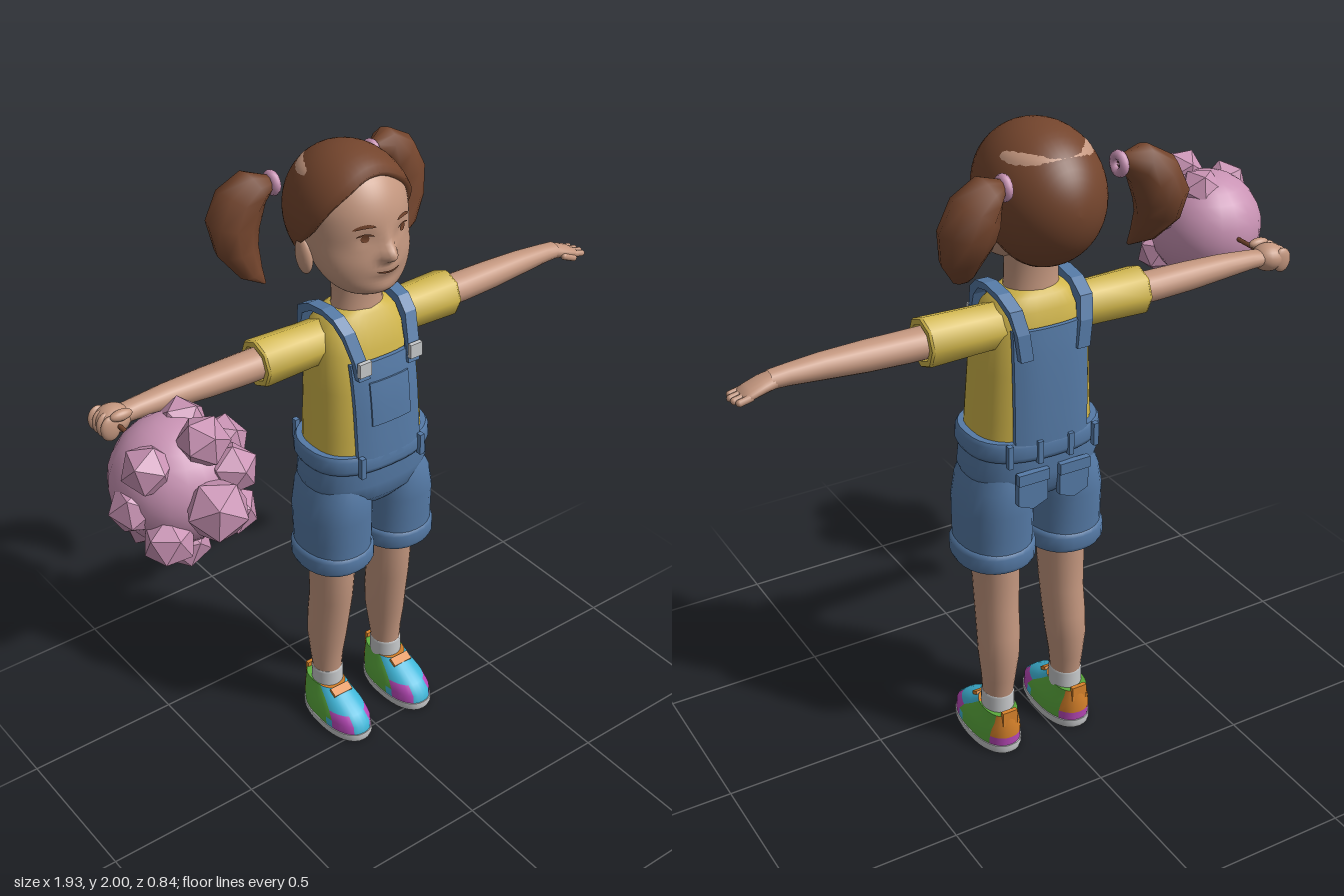
import * as THREE from 'three';

const mat = (name, color, extra) => Object.assign(new THREE.MeshStandardMaterial({ color, ...extra }), { name });
const TAU = Math.PI * 2;

// Smooth interpolation of table rows keyed by their first column
function at(rows, k) {
  let i = 0;
  while (i < rows.length - 2 && k > rows[i + 1][0]) i++;
  const p = rows[i], q = rows[i + 1], h = q[0] - p[0], t = Math.min(1, Math.max(0, (k - p[0]) / h));
  const slope = (n, c) => {
    const a = rows[Math.max(0, n - 1)], b = rows[Math.min(rows.length - 1, n + 1)];
    return (b[c] - a[c]) / (b[0] - a[0]);
  };
  return p.map((v, c) => {
    const d = q[c] - v, m0 = slope(i, c) * h, m1 = slope(i + 1, c) * h;
    return v + t * m0 + t * t * (3 * d - 2 * m0 - m1) + t * t * t * (m0 + m1 - 2 * d);
  });
}

// Closed rings f(angle, ring) joined to a skin; pick gives a material index per quad
function surface(nu, nv, f, pick = () => 0) {
  const pos = [], byMat = [];
  for (let j = 0; j < nv; j++) for (let i = 0; i < nu; i++) pos.push(...f(i / nu * TAU, j));
  for (let j = 0; j < nv - 1; j++) for (let i = 0; i < nu; i++) {
    const a = j * nu + i, b = j * nu + (i + 1) % nu;
    (byMat[pick((i + 0.5) / nu * TAU, j)] ??= []).push(a, b, b + nu, a, b + nu, a + nu);
  }
  const g = new THREE.BufferGeometry();
  g.setAttribute('position', new THREE.Float32BufferAttribute(pos, 3));
  let start = 0;
  byMat.forEach((ix, m) => { g.addGroup(start, ix.length, m); start += ix.length; });
  g.setIndex(byMat.flat());
  g.computeVertexNormals();
  return g;
}
const power = (v, p) => Math.sign(v) * Math.abs(v) ** (2 / p);
const ringPoint = ([y, rx, zf, zb, cx = 0], a, p) =>
  [cx + rx * power(Math.sin(a), p), y, (zf + zb) / 2 + (zf - zb) / 2 * power(Math.cos(a), p)];
// Upright form; rows are [y, half width, front z, back z, centre x]
const loft = (rows, nu = 24, p = 2, pick) => surface(nu, rows.length, (a, j) => ringPoint(rows[j], a, p), pick);
// Sideways form; rows are [x, y, z, half height, half depth]
const limb = (s, rows, nu = 16) => surface(nu, rows.length, (a, j) => {
  const [x, y, z, ry, rz] = rows[j];
  return [s * x, y - s * ry * Math.sin(a), z + rz * Math.cos(a)];
});
const frontZ = ([, rx, zf, zb], x, p, side = 1) =>
  (zf + zb) / 2 + side * (zf - zb) / 2 * Math.max(0, 1 - Math.abs(x / rx) ** p) ** (1 / p);

const HEAD = [[1.595, .03, -.07, -.12], [1.605, .075, -.035, -.16], [1.63, .112, -.02, -.2], [1.67, .14, -.014, -.24],
  [1.71, .152, -.01, -.28], [1.76, .16, -.014, -.33], [1.81, .163, -.013, -.36], [1.86, .16, -.022, -.37],
  [1.91, .142, -.045, -.36], [1.95, .112, -.08, -.33], [1.985, .03, -.14, -.24]];
const TORSO = [[1.06, .185, .005, -.275], [1.15, .18, 0, -.275], [1.3, .172, -.012, -.272], [1.42, .165, -.035, -.265],
  [1.48, .145, -.06, -.255], [1.515, .11, -.08, -.235], [1.53, .078, -.09, -.222]];
const HAIRLINE = [[0, 128], [.785, 126], [1.57, 106], [2, 82], [2.6, 72], [Math.PI, 70]];

const bump = (x, y, cy, wx, wy) => Math.exp(-((x / wx) ** 2) - ((y - cy) / wy) ** 2);
const faceBump = (x, y) => .042 * bump(x, y, 1.735, .024, .02) + .014 * bump(x, y, 1.765, .016, .03)
  + .01 * bump(x, y, 1.685, .04, .016) + .006 * bump(x, y, 1.625, .04, .02)
  - .007 * bump(Math.abs(x) - .062, y, 1.79, .025, .018);
const faceZ = (x, y) => frontZ(at(HEAD, y), x, 2) + faceBump(x, y);

export function createModel() {
  const skin = mat('skin', 0xc4977f), hair = mat('hair brown', 0x74452d, { side: THREE.DoubleSide });
  const pink = mat('pink', 0xc993b4), yellow = mat('shirt yellow', 0xd0b54a);
  const denim = mat('denim blue', 0x557aa6), grey = mat('light grey', 0xc6c8ca);
  const cyan = mat('shoe cyan', 0x3fb6d8), magenta = mat('shoe magenta', 0xb848b8);
  const green = mat('shoe green', 0x5cac3e), orange = mat('shoe orange', 0xd9832b);
  pink.flatShading = false;

  const model = new THREE.Group(), body = new THREE.Group();
  model.name = 'girlWithPompom';
  body.name = 'girl';
  body.position.x = .05;
  model.add(body);
  const add = (name, geo, material, x = 0, y = 0, z = 0) => {
    const m = new THREE.Mesh(geo, material);
    m.name = name;
    m.position.set(x, y, z);
    body.add(m);
    return m;
  };
  const box = (name, w, h, d, material, x, y, z) => add(name, new THREE.BoxGeometry(w, h, d), material, x, y, z);
  const ball = (name, rx, ry, rz, material, x, y, z) =>
    add(name, new THREE.SphereGeometry(1, 20, 14).scale(rx, ry, rz), material, x, y, z);

  // Head with nose, lips and eye sockets
  const N = 42;
  add('head', surface(72, N + 2, (a, j) => {
    if (j === 0) return [0, 1.594, -.095];
    if (j > N) return [0, 1.988, -.19];
    const row = at(HEAD, 1.79 - .195 * Math.cos((j - 1) / (N - 1) * Math.PI));
    const [x, y, z] = ringPoint(row, a, 2);
    return [x, y, z + (Math.cos(a) > 0 ? faceBump(x, y) : 0)];
  }), skin);
  add('neck', loft([[1.47, .09, -.08, -.23], [1.54, .08, -.09, -.222], [1.6, .078, -.09, -.222], [1.67, .085, -.08, -.23]]), skin);

  // Painted face, laid over the head surface
  const paint = (name, cx, cy, w, h, bend = 0, tilt = 0) => {
    const g = new THREE.PlaneGeometry(w, h, 12, 4), p = g.attributes.position;
    for (let i = 0; i < p.count; i++) {
      const u = p.getX(i) / (w / 2), x = cx + p.getX(i);
      const y = cy + p.getY(i) * Math.sqrt(Math.max(0, 1 - u * u)) + bend * (1 - u * u) + tilt * u;
      p.setXYZ(i, x, y, faceZ(x, y) + .004);
    }
    g.computeVertexNormals();
    add(name, g, hair);
  };
  for (const s of [-1, 1]) {
    paint('eyelid', s * .065, 1.797, .05, .007, .006);
    paint('iris', s * .065, 1.79, .024, .022);
    paint('eyebrow', s * .067, 1.821, .062, .011, .007, -s * .003);
    ball('ear', .02, .055, .034, skin, s * .158, 1.705, -.19).rotation.x = -.15;
  }
  paint('mouth', 0, 1.688, .08, .007, -.004);

  // Hair cap, reaching from the back of the head to the hairline
  const H = 18;
  add('hair', surface(48, H + 2, (a, j) => {
    const end = at(HAIRLINE, a > Math.PI ? TAU - a : a)[1] * Math.PI / 180;
    const t = end * Math.min(1, j / H), k = j > H ? .9 : 1;
    return [-.176 * k * Math.sin(t) * Math.sin(a), 1.8 + .2 * k * Math.sin(t) * Math.cos(a), -.19 - .215 * k * Math.cos(t)];
  }), hair);

  // Pigtails; rows are [x, y, z, radius, half depth]
  const tail = [[.17, 1.885, -.315, .004, .004], [.185, 1.885, -.317, .026, .026], [.228, 1.883, -.33, .056, .058],
    [.27, 1.845, -.337, .076, .07], [.297, 1.785, -.337, .08, .072], [.298, 1.72, -.32, .064, .062],
    [.277, 1.655, -.285, .036, .036], [.25, 1.62, -.255, .004, .004]];
  for (const s of [-1, 1]) {
    add('pigtail', surface(10, tail.length, (a, j) => {
      const p = tail[Math.max(0, j - 1)], q = tail[Math.min(tail.length - 1, j + 1)], [x, y, z, r, rz] = tail[j];
      const l = Math.hypot(q[0] - p[0], q[1] - p[1]), tx = (q[0] - p[0]) / l, ty = (q[1] - p[1]) / l;
      return [s * (x - ty * r * Math.cos(a)), y + tx * r * Math.cos(a), z + s * rz * Math.sin(a)];
    }), hair);
    add('hairTie', new THREE.TorusGeometry(.024, .014, 8, 14).rotateY(Math.PI / 2), pink, s * .175, 1.885, -.314);
  }

  // Shirt and arms
  add('shirt', loft([...TORSO, [1.53, .07, -.1, -.21]], 36, 2.6), yellow);
  const Y = 1.43, Z = -.17;
  const arm = [[.25, Y, Z, .046, .052], [.4, Y, Z, .045, .052], [.52, Y + .002, Z, .043, .048], [.64, Y + .005, Z, .037, .041],
    [.74, Y + .005, Z, .029, .034], [.79, Y + .003, Z, .025, .033]];
  for (const s of [-1, 1]) {
    const sleeve = [[.08, .068], [.2, .07], [.345, .074], [.345, .074], [.352, .07], [.352, .07], [.352, .054], [.352, .054], [.28, .05], [.28, .03]];
    add('sleeve', limb(s, sleeve.map(([x, r]) => [x, Y, Z, r, r]), 8), yellow);
    add('arm', limb(s, arm), skin);
  }
  // Open left hand
  add('palm', limb(1, [[.77, 1.434, Z, .024, .032], [.81, 1.426, Z, .022, .038], [.85, 1.414, Z, .017, .041], [.87, 1.408, Z, .01, .036], [.872, 1.407, Z, .001, .001]]), skin);
  for (let i = 0; i < 4; i++) {
    const f = new THREE.CapsuleGeometry(.0105, .045 - .008 * Math.abs(i - 1.3), 4, 8).rotateZ(Math.PI / 2 - .22);
    add('finger', f, skin, .873 - .003 * Math.abs(i - 1.3), 1.407, Z + .03 - i * .02);
  }
  add('thumb', new THREE.CapsuleGeometry(.011, .045, 4, 8).rotateZ(Math.PI / 2 - .4), skin, .825, 1.41, Z + .037);
  // Closed right hand
  ball('fist', .052, .042, .048, skin, -.815, Y, Z);
  for (let i = 0; i < 4; i++) ball('curledFinger', .03, .038, .014, skin, -.842, Y - .004, Z + .036 - i * .023);
  ball('curledThumb', .034, .016, .016, skin, -.81, Y + .03, Z + .042);

  // Pompom on a stick
  add('stick', new THREE.CylinderGeometry(.007, .007, .26, 8).rotateX(Math.PI / 2), hair, -.82, Y, -.06);
  const P = [-.82, 1.42, .155];
  ball('pompom', .175, .175, .175, pink, ...P);
  const tufts = [[.03, .15, .1], [-.11, .1, .06], [-.14, -.02, .03], [-.02, -.16, .06], [.11, -.1, .09], [.14, .06, .01],
    [0, .01, .2], [.05, .13, -.03], [-.1, -.09, .12], [.09, .06, .13], [-.08, -.11, -.02]];
  tufts.forEach(([x, y, z], i) => {
    const g = new THREE.IcosahedronGeometry(i === 6 ? .088 : .072, 0);
    add('pompomTuft', g.rotateX(i * 1.3).rotateY(i * .7), pink, P[0] + x, P[1] + y, P[2] + z);
  });

  // Dungaree bib panels, bent to follow the chest and back
  const drape = (name, w, h, y, side, lift) => {
    const g = new THREE.BoxGeometry(w, h, .014, 10, 10, 1).translate(0, y, 0), p = g.attributes.position;
    for (let i = 0; i < p.count; i++)
      p.setZ(i, p.getZ(i) + frontZ(at(TORSO, p.getY(i)), p.getX(i), 2.6, side) + side * lift);
    g.computeVertexNormals();
    add(name, g, denim);
  };
  drape('bib', .23, .33, 1.235, 1, .01);
  drape('bibPocket', .14, .14, 1.27, 1, .015);
  drape('backPanel', .235, .37, 1.255, -1, .012);

  // Shoulder straps, drawn from the side as [z, y] and slanted outwards
  const outer = [[.002, 1.36], [-.01, 1.42], [-.043, 1.5], [-.085, 1.535], [-.14, 1.546], [-.21, 1.536], [-.268, 1.505], [-.29, 1.44], [-.294, 1.36]];
  const inner = outer.map(([z, y]) => [-.146 + (z + .146) * .86, y > 1.45 ? y - .022 : y]).reverse();
  for (const s of [-1, 1]) {
    const shape = new THREE.Shape([...outer, ...inner].map(([z, y]) => new THREE.Vector2(z, y)));
    const g = new THREE.ExtrudeGeometry(shape, { depth: .04, bevelEnabled: false }).translate(0, 0, -.02).rotateY(-Math.PI / 2);
    const p = g.attributes.position;
    for (let i = 0; i < p.count; i++) p.setX(i, p.getX(i) + s * (.09 + Math.max(0, p.getY(i) - 1.38) * .17));
    g.computeVertexNormals();
    add('strap', g, denim);
    box('buckle', .042, .045, .014, grey, s * .092, 1.4, .004);
  }

  // Waistband, belt loops and hips
  add('waistband', loft([[1.04, .19, 0, -.275], [1.04, .205, .016, -.29], [1.055, .212, .022, -.296], [1.088, .21, .021, -.296],
    [1.1, .203, .014, -.29], [1.1, .203, .014, -.29], [1.1, .165, -.02, -.25]], 36, 2.5), denim);
  for (const s of [-1, 1]) for (const [x, z] of [[.11, .014], [.05, -.294], [.14, -.282]])
    box('beltLoop', .016, .07, .018, denim, s * x, 1.07, z);
  add('hips', loft([[.87, .02, -.1, -.17], [.89, .1, -.03, -.24], [.93, .19, .002, -.272], [.98, .212, .008, -.28], [1.05, .203, .01, -.282]], 36, 2.4), denim);

  for (const s of [-1, 1]) {
    // Shorts legs with turned-up cuffs
    const c = s * .117;
    add('shortsLeg', loft([[.7, .112, -.008, -.262, c], [.78, .113, -.004, -.265, c], [.86, .112, .002, -.272, c],
      [.93, .104, .002, -.272, s * .111], [.99, .085, -.02, -.255, s * .105]], 28, 2.2), denim);
    const cuff = [[.75, .09], [.735, .115], [.72, .122], [.685, .122], [.67, .115], [.67, .115], [.672, .1], [.672, .1], [.72, .098], [.72, .06]];
    add('cuff', loft(cuff.reverse().map(([y, r]) => [y, r, -.135 + r * 1.1, -.135 - r * 1.1, c]), 28, 2.2), denim);
    // Back pocket with flap
    const pocket = new THREE.Shape([[-.048, .05], [-.048, -.045], [0, -.065], [.048, -.045], [.048, .05]].map(v => new THREE.Vector2(...v)));
    add('backPocket', new THREE.ExtrudeGeometry(pocket, { depth: .02, bevelEnabled: false }), denim, s * .068, .95, -.29);
    box('pocketFlap', .1, .035, .02, denim, s * .068, .99, -.287);

    // Legs and socks
    const leg = [[.17, .046, -.122, -.218, .122], [.25, .052, -.114, -.232, .121], [.33, .061, -.1, -.243, .119], [.41, .064, -.088, -.241, .116],
      [.5, .065, -.073, -.23, .114], [.6, .069, -.064, -.229, .113], [.74, .073, -.06, -.229, .114]];
    add('leg', loft(leg.map(r => [...r.slice(0, 4), s * r[4]])), skin);
    add('sock', loft([[.09, .05, -.115, -.225], [.185, .051, -.116, -.224], [.192, .048, -.12, -.22], [.192, .048, -.12, -.22], [.192, .03, -.14, -.2]]
      .map(r => [...r, s * .122])), grey);

    // Shoes: cyan toe, magenta patches, green sides, orange heel
    const f = s * .125;
    const upper = [[.025, .074, .035, -.255], [.058, .074, .032, -.258], [.085, .068, .002, -.258], [.11, .058, -.048, -.257],
      [.138, .051, -.098, -.252], [.138, .051, -.098, -.252], [.13, .01, -.16, -.18]].map(r => [...r, f]);
    add('shoe', loft(upper, 32, 2.3, (a, j) => {
      const z = Math.cos(a);
      if (j >= 4) return z > .3 ? 3 : 2;
      if (z < -.72) return j < 1 ? 1 : 3;
      if (z < .45) return j === 0 && z > .15 ? 0 : 2;
      return j < 2 && z < .9 ? 1 : 0;
    }), [cyan, magenta, green, orange]);
    box('shoeTongue', .07, .012, .03, orange, f, .13, -.09).rotation.x = .5;
    box('heelTab', .05, .05, .014, orange, f, .128, -.247);
    add('sole', loft([[0, .001, -.1, -.11], [0, .074, .036, -.256], [0, .074, .036, -.256], [.012, .078, .04, -.26], [.028, .077, .038, -.259],
      [.028, .077, .038, -.259], [.028, .05, 0, -.22]].map(r => [...r, f]), 32, 2.3), grey);
  }
  // Tufts keep crisp facets because their geometry has unshared corners
  return model;
}
